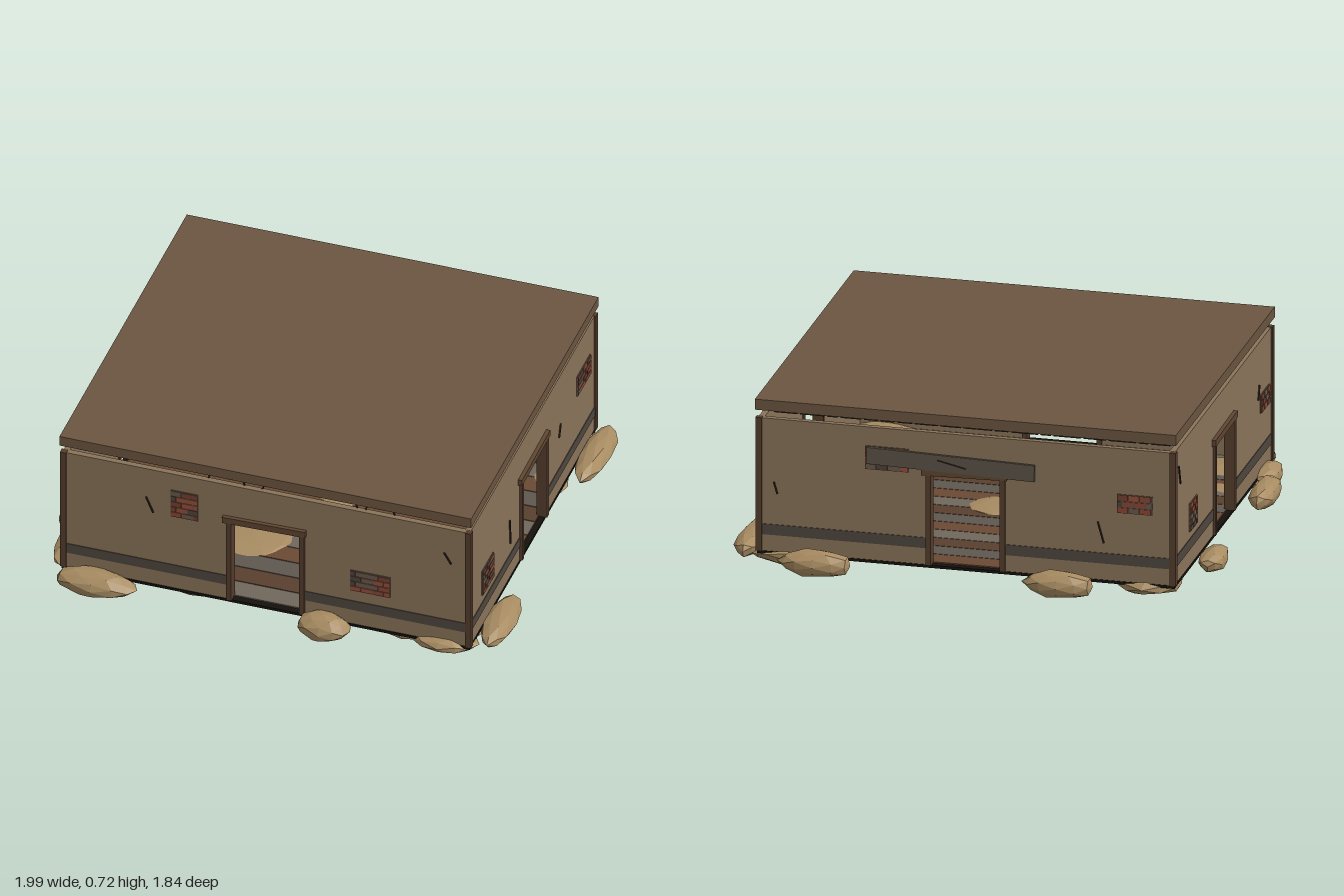
import * as THREE from 'three';

const mat = (color, side = THREE.FrontSide) => new THREE.MeshStandardMaterial({ color, flatShading: true, side });
const M = {
  wall: mat(0x8a745a), roof: mat(0x6b5540), band: mat(0x4f473f), wood: mat(0x553d2c),
  lintel: mat(0x5f4631), floor: mat(0x15110d), crack: mat(0x2a2019), mortar: mat(0x5f5145),
  rock: mat(0xa88c62), sand: mat(0xa88c62), sign: mat(0x5c5347),
};
const BRICKS = [0x8a4634, 0x75402f, 0x52433a, 0x94503a, 0x6b5a4b].map((c) => mat(c));
const PLANKS = [0x6a4a35, 0x5e5850, 0x59402f, 0x70675c].map((c) => mat(c));

let seed = 7;
const rand = () => (seed = (seed * 16807) % 2147483647) / 2147483647;

function box(parent, name, w, h, d, x, y, z, material, tilt = 0) {
  const m = new THREE.Mesh(new THREE.BoxGeometry(w, h, d), material);
  m.name = name;
  m.position.set(x, y, z);
  m.rotation.z = tilt;
  parent.add(m);
  return m;
}

// A dark sliver between two points on a wall face
function crack(parent, x1, y1, x2, y2) {
  const len = Math.hypot(x2 - x1, y2 - y1);
  box(parent, 'crack', len, 0.006, 0.006, (x1 + x2) / 2, (y1 + y2) / 2, 0.003, M.crack, Math.atan2(y2 - y1, x2 - x1));
}

// Exposed brick patch: staggered rows clipped to the patch edges
function brickPatch(parent, x0, x1, y0, y1) {
  const g = new THREE.Group();
  g.name = 'brickPatch';
  box(g, 'mortar', x1 - x0, y1 - y0, 0.006, (x0 + x1) / 2, (y0 + y1) / 2, 0.001, M.mortar);
  const rows = Math.max(3, Math.round((y1 - y0) / 0.024));
  const h = (y1 - y0) / rows, w = 0.048;
  for (let r = 0; r < rows; r++) {
    for (let x = x0 - (r % 2) * w * 0.5; x < x1; x += w) {
      const a = Math.max(x, x0) + 0.002, b = Math.min(x + w, x1) - 0.002;
      if (b - a > 0.008) {
        box(g, 'brick', b - a, h - 0.004, 0.008, (a + b) / 2, y0 + h * (r + 0.5), 0.003, BRICKS[Math.floor(rand() * 5)]);
      }
    }
  }
  parent.add(g);
}

// One wall with an open doorway; local z = 0 is its outer face
function wallSide(name, half, dist, angle, patches, cracks) {
  const pivot = new THREE.Group(), g = new THREE.Group();
  pivot.name = name;
  pivot.rotation.y = angle;
  g.position.z = dist;
  pivot.add(g);
  const d = 0.15, s = new THREE.Shape();
  [[-half, 0.08], [-d, 0.08], [-d, 0.47], [d, 0.47], [d, 0.08], [half, 0.08], [half, 0.65], [-half, 0.65]]
    .forEach(([x, y], i) => (i ? s.lineTo(x, y) : s.moveTo(x, y)));
  const wall = new THREE.Mesh(new THREE.ExtrudeGeometry(s, { depth: 0.025, bevelEnabled: false }), M.wall);
  wall.name = 'wall';
  wall.position.z = -0.025;
  g.add(wall);
  for (const k of [-1, 1]) {
    box(g, 'baseBand', half - d, 0.045, 0.006, k * (half + d) / 2, 0.175, 0, M.band);
    box(g, 'doorJamb', 0.022, 0.39, 0.045, k * 0.155, 0.277, -0.01, M.wood);
  }
  box(g, 'doorLintel', 0.355, 0.028, 0.05, -0.005, 0.485, -0.008, M.lintel, 0.018);
  patches.forEach((p) => brickPatch(g, ...p));
  cracks.forEach((c) => crack(g, ...c));
  return pivot;
}

// Faceted boulder: a squashed, gently jittered icosphere
function rock(parent, x, y, z, rx, ry, rz, material = M.rock, name = 'rock') {
  const geo = new THREE.IcosahedronGeometry(1, 1), p = geo.attributes.position;
  const k = x * 3.1 + z * 5.7, v = new THREE.Vector3();
  for (let i = 0; i < p.count; i++) {
    v.fromBufferAttribute(p, i);
    const j = 0.95 + 0.09 * Math.sin(v.x * 7 + k) * Math.cos(v.y * 6 - v.z * 8 + k);
    p.setXYZ(i, v.x * j * rx, v.y * j * ry, v.z * j * rz);
  }
  geo.computeVertexNormals();
  const m = new THREE.Mesh(geo, material);
  m.name = name;
  m.position.set(x, y, z);
  parent.add(m);
}

export function createModel() {
  seed = 7;
  const root = new THREE.Group();
  root.name = 'squareHut';

  // Floor slab and interior planks
  box(root, 'floorSlab', 1.74, 0.012, 1.59, 0, 0.076, 0, M.floor);
  for (let i = 0; i < 16; i++) {
    box(root, 'floorPlank', 1.69, 0.006, 0.092, 0, 0.084, -0.72 + i * 0.096, PLANKS[i % 4]);
  }
  rock(root, -0.2, 0.086, 0.36, 0.17, 0.013, 0.14, M.sand, 'sandPatch');
  rock(root, 0.05, 0.086, -0.05, 0.13, 0.013, 0.12, M.sand, 'sandPatch');

  // Four walls
  const X = 0.868, Z = 0.792;
  root.add(wallSide('frontWall', X, Z, 0,
    [[-0.405, -0.29, 0.44, 0.57], [0.36, 0.53, 0.25, 0.35]],
    [[-0.51, 0.51, -0.48, 0.44], [0.76, 0.53, 0.79, 0.48]]));
  root.add(wallSide('leftWall', Z, X, Math.PI / 2,
    [[-0.64, -0.5, 0.235, 0.355], [0.55, 0.72, 0.405, 0.5]],
    [[-0.295, 0.37, -0.285, 0.25], [0.325, 0.355, 0.345, 0.41]]));
  const back = wallSide('backWall', X, Z, Math.PI,
    [[-0.42, -0.24, 0.47, 0.57], [0.63, 0.78, 0.375, 0.455]],
    [[-0.8, 0.38, -0.785, 0.33], [0.55, 0.33, 0.575, 0.24]]);
  root.add(back);
  root.add(wallSide('rightWall', Z, X, -Math.PI / 2,
    [[-0.55, -0.43, 0.23, 0.35], [0.6, 0.74, 0.34, 0.42]],
    [[-0.725, 0.57, -0.7, 0.49], [0.56, 0.41, 0.58, 0.47]]));

  // Weathered board over the back doorway
  const board = new THREE.Group();
  board.name = 'backBoard';
  board.position.set(-0.06, 0.525, 0.806);
  board.rotation.z = -0.025;
  box(board, 'board', 0.7, 0.07, 0.012, 0, 0, 0, M.sign);
  for (let i = 0; i < 3; i++) box(board, 'boardScratch', 0.05, 0.005, 0.004, -0.03 + i * 0.035, 0.008 - i * 0.007, 0.007, M.crack, -0.2);
  back.add(board);

  // Corner posts
  for (const sx of [-1, 1]) for (const sz of [-1, 1]) {
    box(root, 'cornerPost', 0.026, 0.57, 0.026, sx * 0.863, 0.367, sz * 0.786, M.wood);
  }

  // Raised roof slab with ragged eave strips
  box(root, 'roof', 1.755, 0.045, 1.6, 0, 0.7075, 0, M.roof);
  for (const sz of [-1, 1]) {
    for (let x = -0.85; x < 0.8;) {
      const w = 0.04 + rand() * 0.08;
      box(root, 'eaveStrip', w, 0.006, 0.012, x + w / 2, 0.681, sz * 0.785, M.crack);
      x += w + 0.012;
    }
  }
  // Splinters along the wall tops
  [[-0.25, 0.05], [-0.1, -0.15], [-0.02, -0.19], [0.38, -0.55], [0.42, -0.57], [0.54, -0.63]].forEach(([a, b], i) => {
    const tilt = i % 2 ? 0.35 : -0.3;
    box(root, 'splinter', 0.006, 0.03, 0.006, a, 0.655, 0.77, M.crack, tilt);
    box(root, 'splinter', 0.006, 0.03, 0.006, 0.85, 0.655, b, M.crack).rotation.x = tilt;
  });

  // Boulders around the base and beneath the corners
  [
    [-0.71, 0.07, 0.845, 0.185, 0.06, 0.075], [0.26, 0.075, 0.84, 0.12, 0.065, 0.075],
    [0.74, 0.065, 0.74, 0.15, 0.045, 0.095], [0.93, 0.08, 0.58, 0.067, 0.05, 0.19],
    [0.925, 0.075, -0.625, 0.067, 0.05, 0.205], [-0.405, 0.07, -0.855, 0.155, 0.06, 0.07],
    [0.61, 0.07, -0.855, 0.16, 0.06, 0.07], [-0.94, 0.08, -0.425, 0.06, 0.05, 0.125],
    [-0.94, 0.075, 0.405, 0.06, 0.055, 0.155], [-0.89, 0.065, 0.65, 0.06, 0.05, 0.12],
    [-0.72, 0.055, 0.64, 0.2, 0.05, 0.16], [0.74, 0.055, -0.69, 0.18, 0.05, 0.14],
    [0.76, 0.055, 0.57, 0.14, 0.045, 0.19], [-0.74, 0.06, -0.69, 0.15, 0.045, 0.14],
    [0.79, 0.06, -0.4, 0.09, 0.035, 0.13], [-0.33, 0.065, 0.7, 0.2, 0.035, 0.09],
    [-0.77, 0.06, 0.38, 0.1, 0.035, 0.1], [0.57, 0.06, 0.71, 0.14, 0.035, 0.08],
  ].forEach((r) => rock(root, ...r));

  return root;
}
